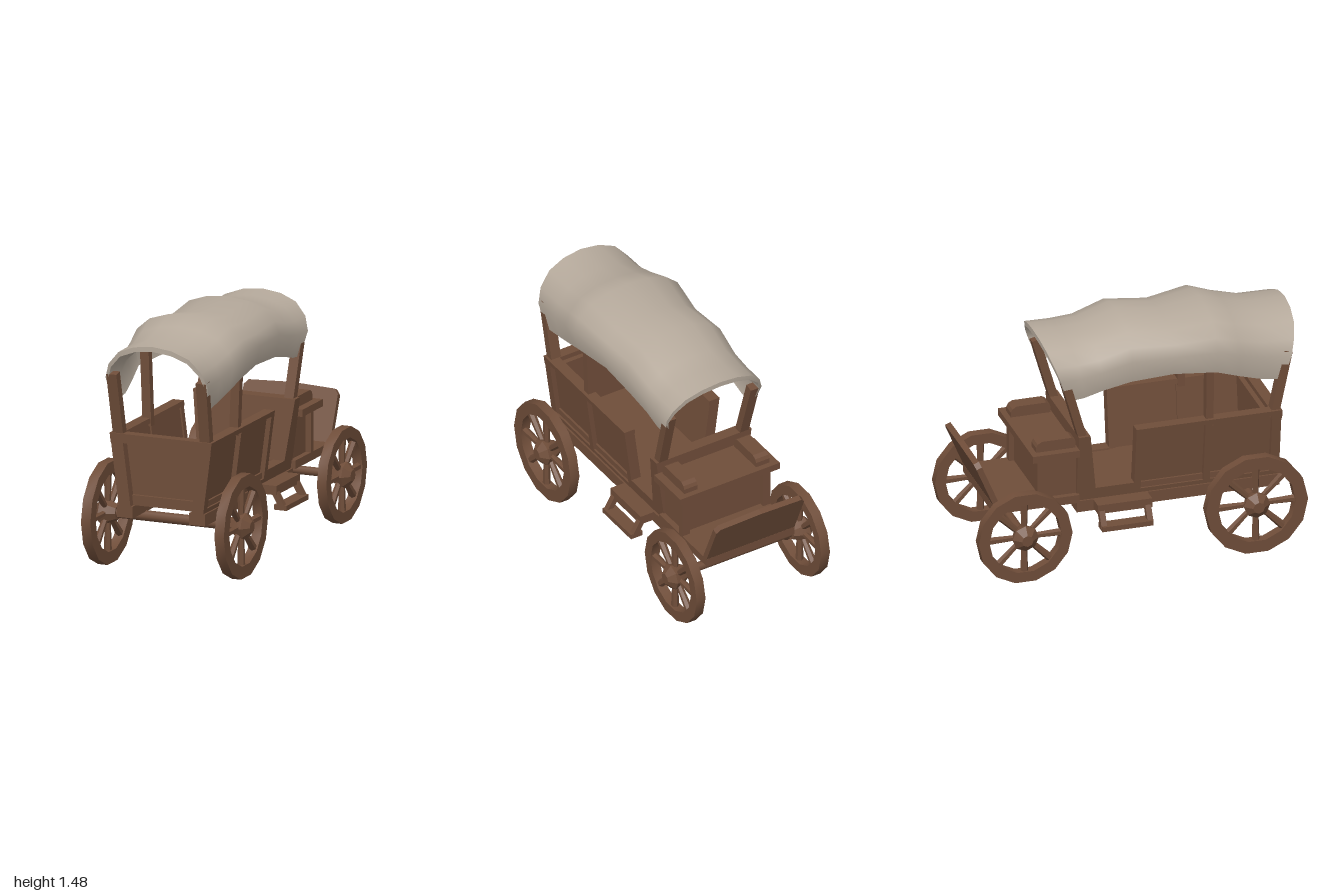
import * as THREE from 'three';
import { toCreasedNormals } from 'three/addons/utils/BufferGeometryUtils.js';

const wood = new THREE.MeshStandardMaterial({ color: 0x6f4d39 });
wood.name = 'brown wood';
const canvas = new THREE.MeshStandardMaterial({ color: 0xb6aa9c });
canvas.name = 'pale canvas';

function add(parent, name, geometry, material = wood) {
  const mesh = new THREE.Mesh(geometry, material);
  mesh.name = name;
  parent.add(mesh);
  return mesh;
}

// Box given by its limits
function span(x0, x1, y0, y1, z0, z1) {
  return new THREE.BoxGeometry(x1 - x0, y1 - y0, z1 - z0)
    .translate((x0 + x1) / 2, (y0 + y1) / 2, (z0 + z1) / 2);
}

// Narrows the body towards its floor
function flare(geometry) {
  const p = geometry.attributes.position;
  for (let i = 0; i < p.count; i++) {
    p.setX(i, p.getX(i) + Math.sign(p.getX(i)) * (p.getY(i) - 0.83) * 0.13);
  }
  geometry.computeVertexNormals();
  return geometry;
}

// Side profile of [z, y] points extruded across the wagon
function across(points, width) {
  const shape = new THREE.Shape(points.map(([z, y]) => new THREE.Vector2(z, y)));
  return new THREE.ExtrudeGeometry(shape, { depth: width, bevelEnabled: false })
    .rotateY(-Math.PI / 2).translate(width / 2, 0, 0);
}

// Straight timber between two points
function beam(parent, name, from, to, w, d) {
  const a = new THREE.Vector3(...from), b = new THREE.Vector3(...to);
  const dir = b.clone().sub(a);
  const mesh = add(parent, name, new THREE.BoxGeometry(w, dir.length(), d));
  mesh.position.copy(a).add(b).multiplyScalar(0.5);
  mesh.quaternion.setFromUnitVectors(new THREE.Vector3(0, 1, 0), dir.normalize());
}

// Wheel with its axis along x, outer face towards +x
function makeWheel(radius, rim) {
  const wheel = new THREE.Group();
  wheel.name = 'wheel';
  const inner = radius - rim;
  const lathe = (pts, n) => toCreasedNormals(new THREE.LatheGeometry(
    pts.map(([r, h]) => new THREE.Vector2(r, h)), n).rotateZ(-Math.PI / 2), 0.5);
  add(wheel, 'rim', lathe([[inner, -0.03], [radius, -0.03], [radius, 0.03],
    [inner, 0.03], [inner, -0.03]], 14));
  add(wheel, 'hub', lathe([[0, -0.065], [0.045, -0.065], [0.075, 0], [0.08, 0.03],
    [0.035, 0.07], [0, 0.07]], 8));
  for (let i = 0; i < 8; i++) {
    const spoke = new THREE.CylinderGeometry(0.024, 0.017, inner - 0.03, 6)
      .translate(0, (inner + 0.05) / 2, 0).rotateX(i * Math.PI / 4);
    add(wheel, 'spoke', toCreasedNormals(spoke, 0.5));
  }
  return wheel;
}

function makeAxle(parent, radius, rim, y, z, r) {
  add(parent, 'axle', new THREE.CylinderGeometry(r, r, 0.8, 8).rotateZ(Math.PI / 2))
    .position.set(0, y, z);
  for (const side of [1, -1]) {
    const wheel = makeWheel(radius, rim);
    wheel.position.set(side * 0.425, y, z);
    if (side < 0) wheel.rotation.y = Math.PI;
    parent.add(wheel);
  }
}

// Sagging canvas: each row is [zTop, zBottom, top, bottom, half width, thickness]
function coverGeometry() {
  const rows = [
    [1.0, 0.9, 1.4, 1.015, 0.325, 0.03], [0.78, 0.75, 1.4, 1.04, 0.325, 0.06],
    [0.62, 0.62, 1.435, 1.085, 0.345, 0.06], [0.48, 0.48, 1.478, 1.14, 0.37, 0.06],
    [0.23, 0.23, 1.435, 1.15, 0.335, 0.06], [-0.03, -0.03, 1.472, 1.14, 0.34, 0.06],
    [-0.23, -0.2, 1.405, 1.1, 0.325, 0.06], [-0.37, -0.31, 1.4, 1.07, 0.325, 0.06],
    [-0.53, -0.41, 1.405, 1.06, 0.325, 0.03],
  ];
  const half = [[0.92, 0], [1, 0.41], [0.91, 0.64], [0.69, 0.85], [0.37, 0.96]];
  const arch = [...half.map(([x, y]) => [-x, y]), [0, 1], ...half.slice().reverse()];
  const n = arch.length, m = 2 * n, pos = [], idx = [];
  for (const [zt, zb, top, bottom, w, t] of rows) {
    const put = (x, f, drop, s) =>
      pos.push(x * w * s, bottom + f * (top - bottom) - drop * f, zb + f * (zt - zb));
    for (const [x, f] of arch) put(x, f, 0, 1);
    for (const [x, f] of arch.slice().reverse()) put(x, f, t, 0.95);
  }
  const quad = (a, b, c, d) => idx.push(a, b, c, a, c, d);
  for (let k = 0; k < rows.length - 1; k++) {
    for (let i = 0; i < m; i++) {
      const j = (i + 1) % m;
      quad(k * m + i, k * m + j, (k + 1) * m + j, (k + 1) * m + i);
    }
  }
  const last = (rows.length - 1) * m;
  for (let i = 0; i < n - 1; i++) {
    const u = m - 1 - i;
    quad(i, u, u - 1, i + 1);
    quad(last + i, last + i + 1, last + u - 1, last + u);
  }
  const g = new THREE.BufferGeometry();
  g.setAttribute('position', new THREE.Float32BufferAttribute(pos, 3));
  g.setIndex(idx);
  return toCreasedNormals(g, 0.8);
}

export function createModel() {
  const wagon = new THREE.Group();
  wagon.name = 'coveredWagon';

  // Running gear
  makeAxle(wagon, 0.31, 0.075, 0.305, 0.69, 0.032);
  makeAxle(wagon, 0.285, 0.065, 0.295, -0.715, 0.026);

  // Floor and end wall
  add(wagon, 'floor', span(-0.26, 0.26, 0.4, 0.46, -0.3, 0.84));
  add(wagon, 'endPanel', flare(span(-0.29, 0.29, 0.4, 0.8, 0.79, 0.82)));
  add(wagon, 'endTopRail', flare(span(-0.325, 0.325, 0.775, 0.83, 0.82, 0.885)));

  for (const s of [1, -1]) {
    const side = (name, x0, x1, ...rest) =>
      add(wagon, name, flare(s > 0 ? span(x0, x1, ...rest) : span(-x1, -x0, ...rest)));
    // Side wall with framed panels
    side('sidePanel', 0.27, 0.295, 0.4, 0.81, 0.02, 0.84);
    side('sideTopRail', 0.255, 0.325, 0.8, 0.83, 0, 0.885);
    side('sideBottomRail', 0.27, 0.325, 0.4, 0.425, 0, 0.87);
    side('doorSill', 0.25, 0.325, 0.4, 0.47, -0.24, 0);
    side('cornerPost', 0.25, 0.325, 0.4, 0.8, 0.825, 0.88);
    side('middlePost', 0.26, 0.325, 0.4, 0.8, 0.42, 0.46);
    side('doorPost', 0.26, 0.325, 0.4, 0.8, 0, 0.04);

    // Chassis rail
    add(wagon, 'chassisRail', span(s * 0.23 - 0.05, s * 0.23 + 0.05, 0.33, 0.4, -0.35, 0.88));

    // Hanging step
    add(wagon, 'stepBracket', span(s * 0.315 - 0.055, s * 0.315 + 0.055, 0.345, 0.4, -0.25, 0.08));
    add(wagon, 'stepTread', span(s * 0.39 - 0.04, s * 0.39 + 0.04, 0.255, 0.285, -0.24, 0.07));
    for (const z of [0.055, -0.225]) {
      beam(wagon, 'stepArm', [s * 0.34, 0.38, z], [s * 0.405, 0.265, z], 0.035, 0.035);
    }

    // Cover poles
    beam(wagon, 'coverPole', [s * 0.275, 0.78, 0.84], [s * 0.285, 1.2, 0.925], 0.065, 0.05);
    beam(wagon, 'coverPole', [s * 0.275, 0.78, 0.45], [s * 0.295, 1.3, 0.45], 0.055, 0.045);
    beam(wagon, 'coverPole', [s * 0.275, 0.78, -0.31], [s * 0.285, 1.2, -0.43], 0.06, 0.05);

    // Seat armrest with rounded top corners
    const arm = across([[-0.36, 0.75], [-0.6, 0.75], [-0.6, 0.785], [-0.59, 0.805],
      [-0.565, 0.82], [-0.385, 0.82], [-0.365, 0.808], [-0.36, 0.79]].reverse(), 0.09);
    add(wagon, 'armrest', arm.translate(s * 0.245, 0, 0));
    add(wagon, 'seatPost', span(s * 0.275 - 0.025, s * 0.275 + 0.025, 0.44, 0.72, -0.595, -0.555));
  }

  // Bulkhead and driver's seat
  add(wagon, 'bulkhead', flare(across([[-0.35, 0.4], [-0.23, 0.4], [-0.235, 0.47],
    [-0.28, 0.83], [-0.35, 0.83]], 0.65)));
  add(wagon, 'seatBox', span(-0.265, 0.265, 0.44, 0.72, -0.565, -0.34));
  add(wagon, 'seatPlank', span(-0.34, 0.34, 0.712, 0.755, -0.635, -0.35));

  // Driver's platform and sloping footboard
  add(wagon, 'platform', span(-0.3, 0.3, 0.4, 0.45, -0.86, -0.34));
  const board = new THREE.Shape([[-0.3, 0], [0.3, 0], [0.3, 0.32], [0.275, 0.35],
    [0, 0.362], [-0.275, 0.35], [-0.3, 0.32]].map(([x, y]) => new THREE.Vector2(x, y)));
  const footboard = add(wagon, 'footboard',
    new THREE.ExtrudeGeometry(board, { depth: 0.035, bevelEnabled: false }));
  footboard.position.set(0, 0.405, -0.84);
  footboard.rotation.x = -0.4;

  // Canvas cover
  add(wagon, 'canvasCover', coverGeometry(), canvas);
  return wagon;
}
